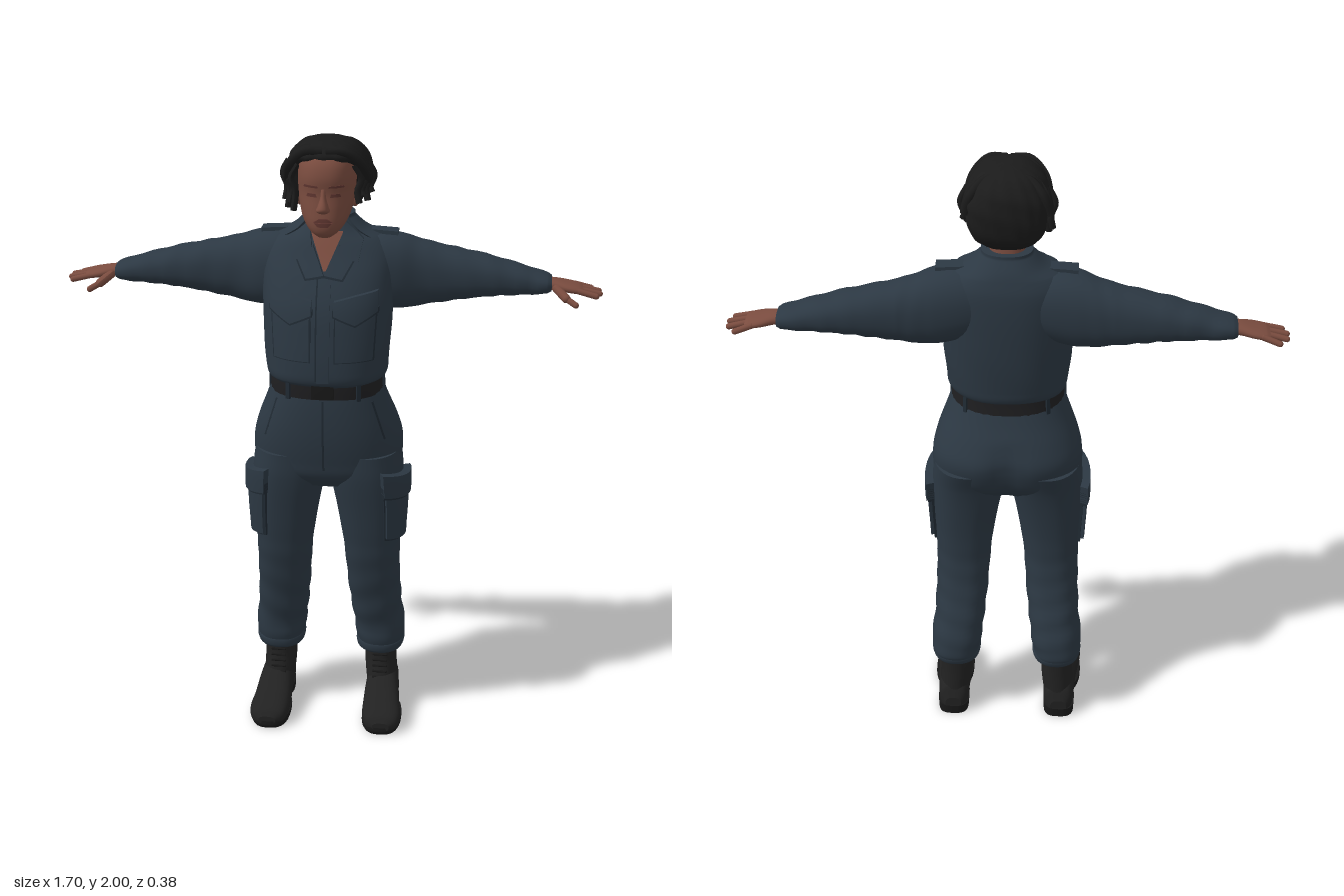
import * as THREE from 'three';

const mat = (name, color) => {
  const m = new THREE.MeshStandardMaterial({ color });
  m.name = name;
  return m;
};
const MATS = {
  cloth: mat('navy cloth', 0x2c3843), seam: mat('dark navy seam', 0x202a33),
  skin: mat('brown skin', 0x7a4c3f), lip: mat('dark brown skin', 0x5f3630),
  hair: mat('black hair', 0x1b1b1b), belt: mat('black belt', 0x1f1f21),
  boot: mat('black boot leather', 0x222222), sole: mat('black sole', 0x191919),
};

// Smooth body through sections [t, u0, u1, v0, v1], superellipse rings around the y axis.
function loft(sections, { n = 2.3, segs = 36, steps = 5, ripple = () => 0 } = {}) {
  const S = sections, last = S.length - 1;
  const slope = (i, k) => {
    const a = S[Math.max(0, i - 1)], b = S[Math.min(last, i + 1)];
    return (b[k] - a[k]) / (b[0] - a[0]);
  };
  const section = (t) => {
    const up = S[last][0] > S[0][0] ? 1 : -1;
    let i = 0;
    while (i < last - 1 && (t - S[i + 1][0]) * up > 0) i++;
    const h = S[i + 1][0] - S[i][0], f = THREE.MathUtils.clamp((t - S[i][0]) / h, 0, 1);
    const f2 = f * f, f3 = f2 * f;
    const [u0, u1, v0, v1] = [1, 2, 3, 4].map((k) =>
      (2 * f3 - 3 * f2 + 1) * S[i][k] + (f3 - 2 * f2 + f) * h * slope(i, k) +
      (3 * f2 - 2 * f3) * S[i + 1][k] + (f3 - f2) * h * slope(i + 1, k));
    return { cx: (u0 + u1) / 2, cz: (v0 + v1) / 2, rx: (u1 - u0) / 2, rz: (v1 - v0) / 2 };
  };
  const bend = (c) => Math.sign(c) * Math.abs(c) ** (2 / n);
  const at = (a, t, lift = 0) => {
    const s = section(t), k = 1 + ripple(a, t);
    return new THREE.Vector3(s.cx + (s.rx * k + lift) * bend(Math.sin(a)), t,
      s.cz + (s.rz * k + lift) * bend(Math.cos(a)));
  };
  // Point on the front half, found from x and y.
  const front = (x, t, lift = 0) => {
    const s = section(t), r = Math.min(0.96, Math.abs((x - s.cx) / s.rx));
    return new THREE.Vector3(x, t, s.cz + s.rz * (1 - r ** n) ** (1 / n) + lift);
  };
  const ts = [S[0][0]];
  for (let i = 0; i < last; i++)
    for (let j = 1; j <= steps; j++) ts.push(S[i][0] + (S[i + 1][0] - S[i][0]) * j / steps);
  const rings = ts.map((t) => Array.from({ length: segs }, (_, i) => at(i / segs * Math.PI * 2, t)));
  const centre = (t) => { const s = section(t); return Array(segs).fill(new THREE.Vector3(s.cx, t, s.cz)); };
  const rows = [centre(ts[0]), rings[0], ...rings, rings.at(-1), centre(ts.at(-1))];
  const index = [];
  for (let j = 0; j < rows.length - 1; j++) {
    if (j === 1 || j === rows.length - 3) continue;
    for (let i = 0; i < segs; i++) {
      const a = j * segs + i, b = j * segs + (i + 1) % segs;
      index.push(a, b, b + segs, a, b + segs, a + segs);
    }
  }
  const geo = new THREE.BufferGeometry().setFromPoints(rows.flat());
  geo.setIndex(index);
  geo.computeVertexNormals();
  return { geo, at, front };
}
// Sections [x, y0, y1, z0, z1] along x, and [z, x0, x1, y0, y1] along z.
const loftX = (s, o) => loft(s.map(([x, a, b, c, d]) => [x, -b, -a, c, d]), o).geo.rotateZ(-Math.PI / 2);
const loftZ = (s, o) => loft(s.map(([z, a, b, c, d]) => [z, a, b, -d, -c]), o).geo.rotateX(Math.PI / 2);
const sym = (s) => s.map(([y, w, z0, z1]) => [y, -w, w, z0, z1]);

// Plate laid on a surface; corners run bottom left, bottom right, top right, top left.
function patch(map, [a, b, c, d], thick, div = 8) {
  const geo = new THREE.BoxGeometry(1, 1, 1, div, div, 1), p = geo.attributes.position;
  for (let i = 0; i < p.count; i++) {
    const u = p.getX(i) + 0.5, v = p.getY(i) + 0.5;
    const mix = (k) => (a[k] * (1 - u) + b[k] * u) * (1 - v) + (d[k] * (1 - u) + c[k] * u) * v;
    const q = map(mix(0), mix(1), p.getZ(i) > 0 ? thick : -0.004);
    p.setXYZ(i, q.x, q.y, q.z);
  }
  geo.computeVertexNormals();
  return geo;
}
function rod(a, b, r) {
  const A = new THREE.Vector3(...a), B = new THREE.Vector3(...b), dir = B.clone().sub(A);
  const geo = new THREE.CapsuleGeometry(r, dir.length(), 5, 10);
  geo.applyQuaternion(new THREE.Quaternion().setFromUnitVectors(new THREE.Vector3(0, 1, 0), dir.clone().normalize()));
  return geo.translate(...A.add(B).multiplyScalar(0.5).toArray());
}
const tube = (pts, r) => new THREE.TubeGeometry(
  new THREE.CatmullRomCurve3(pts.map((p) => new THREE.Vector3(...p))), 16, r, 7);
const block = (w, h, d, x, y, z) => new THREE.BoxGeometry(w, h, d).translate(x, y, z);
function mirrored(geo) {
  const g = geo.clone().scale(-1, 1, 1), ix = g.index.array;
  for (let i = 0; i < ix.length; i += 3) [ix[i], ix[i + 1]] = [ix[i + 1], ix[i]];
  g.computeVertexNormals();
  return g;
}

export function createModel() {
  const model = new THREE.Group();
  const add = (name, geo, key) => {
    const m = new THREE.Mesh(geo, MATS[key]);
    m.name = name;
    model.add(m);
  };
  const pair = (name, geo, key) => {
    add(name + 'Left', geo, key);
    add(name + 'Right', mirrored(geo), key);
  };

  // Shirt body
  const torso = loft(sym([[1.245, 0.168, -0.11, 0.165], [1.262, 0.186, -0.132, 0.184], [1.3, 0.192, -0.14, 0.188],
    [1.4, 0.2, -0.15, 0.18], [1.5, 0.203, -0.155, 0.163], [1.58, 0.205, -0.155, 0.125], [1.64, 0.198, -0.15, 0.085],
    [1.68, 0.165, -0.138, 0.06], [1.71, 0.105, -0.125, 0.04], [1.745, 0.066, -0.1, 0.015]]),
  { ripple: (a, t) => 0.01 * Math.sin(5 * a + 30 * t) * Math.max(0, 1.5 - t) * 4 });
  add('shirt', torso.geo, 'cloth');
  const f = torso.front;
  add('openNeckSkin', patch(f, [[-0.004, 1.605], [0.004, 1.605], [0.05, 1.71], [-0.05, 1.71]], 0.006), 'skin');
  add('placketSeam', patch(f, [[-0.022, 1.275], [-0.017, 1.275], [-0.017, 1.6], [-0.022, 1.6]], 0.005), 'seam');
  add('placket', patch(f, [[-0.017, 1.27], [0.022, 1.27], [0.022, 1.605], [-0.017, 1.605]], 0.006), 'cloth');
  add('collar', patch(torso.at, [[0.95, 1.69], [5.33, 1.69], [5.4, 1.755], [0.88, 1.755]], 0.012, 24), 'cloth');
  pair('lapel', patch(f, [[0.002, 1.595], [0.055, 1.585], [0.088, 1.64], [0.04, 1.675]], 0.013), 'cloth');
  pair('lapelSeam', patch(f, [[-0.002, 1.588], [0.058, 1.578], [0.094, 1.64], [0.04, 1.67]], 0.009), 'seam');
  pair('collarPoint', patch(f, [[0.042, 1.66], [0.1, 1.628], [0.112, 1.69], [0.054, 1.738]], 0.018), 'cloth');
  pair('chestPocketSeam', patch(f, [[0.036, 1.335], [0.156, 1.335], [0.164, 1.5], [0.036, 1.5]], 0.006), 'seam');
  pair('chestPocket', patch(f, [[0.04, 1.34], [0.152, 1.34], [0.16, 1.5], [0.04, 1.5]], 0.012), 'cloth');
  // Pointed pocket flaps, in two halves
  pair('pocketFlapInner', patch(f, [[0.034, 1.485], [0.1, 1.455], [0.1, 1.54], [0.034, 1.525]], 0.02), 'cloth');
  pair('pocketFlapOuter', patch(f, [[0.1, 1.455], [0.166, 1.49], [0.164, 1.55], [0.1, 1.54]], 0.02), 'cloth');
  pair('pocketFlapShadowInner', patch(f, [[0.031, 1.479], [0.1, 1.448], [0.1, 1.5], [0.031, 1.5]], 0.015), 'seam');
  pair('pocketFlapShadowOuter', patch(f, [[0.1, 1.448], [0.168, 1.484], [0.168, 1.5], [0.1, 1.5]], 0.015), 'seam');

  // Sleeves
  pair('sleeve', loftX([[0.07, 1.49, 1.68, -0.135, 0.02], [0.14, 1.46, 1.693, -0.148, 0.045],
    [0.21, 1.447, 1.686, -0.155, 0.036], [0.27, 1.452, 1.667, -0.156, 0.014], [0.33, 1.462, 1.65, -0.156, 0],
    [0.485, 1.485, 1.616, -0.157, -0.015], [0.6, 1.494, 1.584, -0.15, -0.028], [0.675, 1.5, 1.56, -0.146, -0.036],
    [0.69, 1.508, 1.552, -0.138, -0.044]],
  { ripple: (a, t) => 0.03 * Math.sin(80 * t + 2 * Math.sin(a + 9 * t)) * Math.min(1, Math.max(0, t - 0.2) * 4) }), 'cloth');
  pair('shoulderStrap', block(0.115, 0.012, 0.05, 0, 0, 0).rotateZ(-0.06).translate(0.155, 1.695, -0.05), 'cloth');

  // Hands
  pair('palm', loftX([[0.66, 1.512, 1.548, -0.12, -0.06], [0.7, 1.51, 1.546, -0.126, -0.054],
    [0.74, 1.506, 1.538, -0.138, -0.044], [0.775, 1.503, 1.53, -0.138, -0.046], [0.788, 1.508, 1.524, -0.13, -0.055]],
  { segs: 20 }), 'skin');
  [[-0.131, -0.142, 0.815], [-0.105, -0.112, 0.838], [-0.08, -0.08, 0.84], [-0.055, -0.05, 0.828]].forEach(([z0, z1, x], i) => {
    pair('finger' + (i + 1), rod([0.765, 1.518, z0], [x, 1.503, z1], 0.0095), 'skin');
  });
  pair('thumbBase', rod([0.705, 1.522, -0.06], [0.735, 1.5, -0.028], 0.014), 'skin');
  pair('thumbTip', rod([0.735, 1.5, -0.028], [0.765, 1.484, -0.012], 0.01), 'skin');

  // Trousers
  const hips = loft(sym([[0.885, 0.17, -0.1, 0.1], [0.93, 0.23, -0.148, 0.138], [0.98, 0.24, -0.174, 0.15],
    [1.04, 0.238, -0.185, 0.16], [1.1, 0.222, -0.165, 0.165], [1.17, 0.195, -0.132, 0.165], [1.235, 0.172, -0.105, 0.16]]),
  { segs: 48, ripple: (a, t) => t < 1.13 ? -0.13 * Math.exp(-(((a - Math.PI) / 0.16) ** 2)) * Math.min(1, (1.13 - t) * 10) : 0 });
  add('trouserSeat', hips.geo, 'cloth');
  add('flySeam', patch(hips.front, [[-0.003, 0.96], [0.003, 0.96], [0.003, 1.2], [-0.003, 1.2]], 0.003), 'seam');
  pair('hipPocketSeam', patch(hips.front, [[0.188, 1.06], [0.193, 1.06], [0.153, 1.19], [0.148, 1.19]], 0.004), 'seam');
  const leg = loft([[1, 0.004, 0.235, -0.17, 0.14], [0.92, 0.005, 0.244, -0.142, 0.138], [0.8, 0.028, 0.244, -0.122, 0.12],
    [0.68, 0.048, 0.238, -0.112, 0.1], [0.6, 0.057, 0.236, -0.114, 0.085], [0.5, 0.064, 0.238, -0.13, 0.06],
    [0.4, 0.074, 0.243, -0.16, 0.034], [0.31, 0.085, 0.253, -0.184, 0.012], [0.265, 0.09, 0.255, -0.185, 0.008],
    [0.235, 0.095, 0.245, -0.17, 0], [0.222, 0.11, 0.235, -0.158, -0.012]].reverse(),
  { ripple: (a, t) => 0.025 * Math.sin(65 * t + 2 * Math.sin(a + 7 * t)) * Math.min(1, Math.max(0, 0.75 - t) * 3) });
  pair('trouserLeg', leg.geo, 'cloth');
  pair('trouserCuff', loft([[0.222, 0.1, 0.243, -0.168, -0.004], [0.232, 0.092, 0.25, -0.177, 0.004],
    [0.255, 0.09, 0.254, -0.182, 0.007], [0.268, 0.1, 0.245, -0.172, 0]]).geo, 'cloth');
  pair('cargoPocketSeam', patch(leg.at, [[0.46, 0.7], [1.92, 0.675], [1.94, 0.9], [0.46, 0.93]], 0.008), 'seam');
  pair('cargoPocket', patch(leg.at, [[0.5, 0.71], [1.86, 0.685], [1.88, 0.89], [0.5, 0.92]], 0.018), 'cloth');
  pair('cargoFlapShadow', patch(leg.at, [[0.43, 0.862], [1.95, 0.828], [1.95, 0.88], [0.43, 0.9]], 0.021), 'seam');
  pair('cargoFlap', patch(leg.at, [[0.43, 0.87], [1.95, 0.836], [1.95, 0.905], [0.43, 0.95]], 0.026), 'cloth');

  // Belt with loops and buckle
  const belt = loft(sym([[1.206, 0.179, -0.117, 0.167], [1.235, 0.178, -0.115, 0.169], [1.266, 0.176, -0.114, 0.17]]));
  add('belt', belt.geo, 'belt');
  add('buckle', patch(belt.front, [[-0.035, 1.21], [0.035, 1.21], [0.035, 1.262], [-0.035, 1.262]], 0.007), 'sole');
  [0.6, 1.5, 2.4].forEach((a, i) => pair('beltLoop' + (i + 1),
    patch(belt.at, [[a - 0.04, 1.2], [a + 0.04, 1.2], [a + 0.04, 1.27], [a - 0.04, 1.27]], 0.006, 2), 'seam'));

  // Boots
  pair('bootShaft', loft([[0.05, 0.132, 0.232, -0.165, 0.0], [0.12, 0.124, 0.23, -0.162, -0.005],
    [0.18, 0.12, 0.227, -0.16, -0.018], [0.25, 0.12, 0.227, -0.16, -0.018]]).geo, 'boot');
  pair('bootFoot', loftZ([[-0.173, 0.155, 0.21, 0.015, 0.07], [-0.155, 0.136, 0.228, 0.005, 0.115],
    [-0.1, 0.13, 0.236, 0.004, 0.14], [-0.02, 0.127, 0.242, 0.004, 0.135], [0.05, 0.125, 0.25, 0.004, 0.097],
    [0.11, 0.127, 0.256, 0.004, 0.082], [0.145, 0.14, 0.246, 0.006, 0.064], [0.161, 0.165, 0.222, 0.015, 0.045]],
  { n: 2.6 }), 'boot');
  pair('bootSole', loft([[0, 0.127, 0.253, -0.05, 0.158], [0.012, 0.123, 0.257, -0.05, 0.164], [0.028, 0.124, 0.256, -0.05, 0.163]], { n: 2.6 }).geo, 'sole');
  pair('bootHeel', loft([[0, 0.132, 0.235, -0.174, -0.055], [0.036, 0.13, 0.237, -0.177, -0.04]], { n: 3 }).geo, 'sole');
  for (let i = 0; i < 5; i++)
    pair('bootLace' + (i + 1), rod([0.153, 0.125 + i * 0.021, -0.008 - i * 0.002], [0.197, 0.125 + i * 0.021, -0.008 - i * 0.002], 0.004), 'sole');

  // Neck, head and face
  add('neck', loft(sym([[1.62, 0.06, -0.09, 0.055], [1.72, 0.056, -0.075, 0.046], [1.83, 0.058, -0.06, 0.06]])).geo, 'skin');
  const head = loft(sym([[1.713, 0.022, 0.075, 0.128], [1.73, 0.045, 0.03, 0.146], [1.76, 0.067, -0.03, 0.152],
    [1.8, 0.08, -0.07, 0.149], [1.845, 0.086, -0.085, 0.144], [1.9, 0.087, -0.09, 0.148], [1.95, 0.076, -0.08, 0.126],
    [1.985, 0.035, -0.03, 0.07]]));
  add('head', head.geo, 'skin');
  add('nose', loft(sym([[1.792, 0.012, 0.13, 0.155], [1.8, 0.021, 0.12, 0.172], [1.812, 0.017, 0.12, 0.175],
    [1.84, 0.009, 0.12, 0.158], [1.865, 0.008, 0.12, 0.147]]), { segs: 16 }).geo, 'skin');
  add('upperLip', patch(head.front, [[-0.03, 1.766], [0.03, 1.766], [0.012, 1.777], [-0.012, 1.777]], 0.007), 'lip');
  add('lowerLip', patch(head.front, [[-0.015, 1.752], [0.015, 1.752], [0.028, 1.764], [-0.028, 1.764]], 0.007), 'lip');
  pair('eyelid', patch(head.front, [[0.02, 1.84], [0.052, 1.84], [0.048, 1.85], [0.024, 1.85]], 0.003), 'lip');
  pair('eyebrow', patch(head.front, [[0.016, 1.868], [0.062, 1.868], [0.058, 1.875], [0.018, 1.874]], 0.003), 'lip');
  pair('ear', new THREE.SphereGeometry(1, 14, 10).scale(0.014, 0.03, 0.02).translate(0.084, 1.815, 0.018), 'skin');

  // Hair cap with swept strands and side twists
  add('hair', loft(sym([[1.76, 0.055, -0.075, -0.02], [1.785, 0.092, -0.1, -0.005], [1.82, 0.11, -0.114, 0.002],
    [1.87, 0.12, -0.12, 0.025], [1.91, 0.122, -0.118, 0.07], [1.945, 0.112, -0.107, 0.126], [1.975, 0.085, -0.08, 0.115],
    [1.992, 0.05, -0.04, 0.085], [1.998, 0.015, 0, 0.045]]),
  { segs: 64, ripple: (a, t) => 0.022 * Math.sin(16 * a + 30 * t) + 0.012 * Math.sin(90 * t + 3 * a) }).geo, 'hair');
  for (let i = 0; i < 6; i++) {
    const z = 0.1 - i * 0.03;
    pair('sweptStrand' + (i + 1), tube([[0.005, 1.978 - Math.abs(i - 2) * 0.004, z + 0.012], [0.06, 1.97, z + 0.01],
      [0.105, 1.93, z - 0.015], [0.124, 1.87, z * 0.6 - 0.03]], 0.014), 'hair');
  }
  for (let i = 0; i < 4; i++) {
    const x = 0.094 + i * 0.011, z = 0.062 - i * 0.02;
    const twist = (low) => tube([[x - 0.01, 1.925, z + 0.01], [x + 0.012, 1.88, z], [x, 1.84, z - 0.004], [x + 0.006, low, z]], 0.0105);
    add('twistLeft' + (i + 1), twist(1.805 + (i % 2) * 0.02), 'hair');
    add('twistRight' + (i + 1), mirrored(twist(1.778 + (i % 2) * 0.02)), 'hair');
  }
  return model;
}
